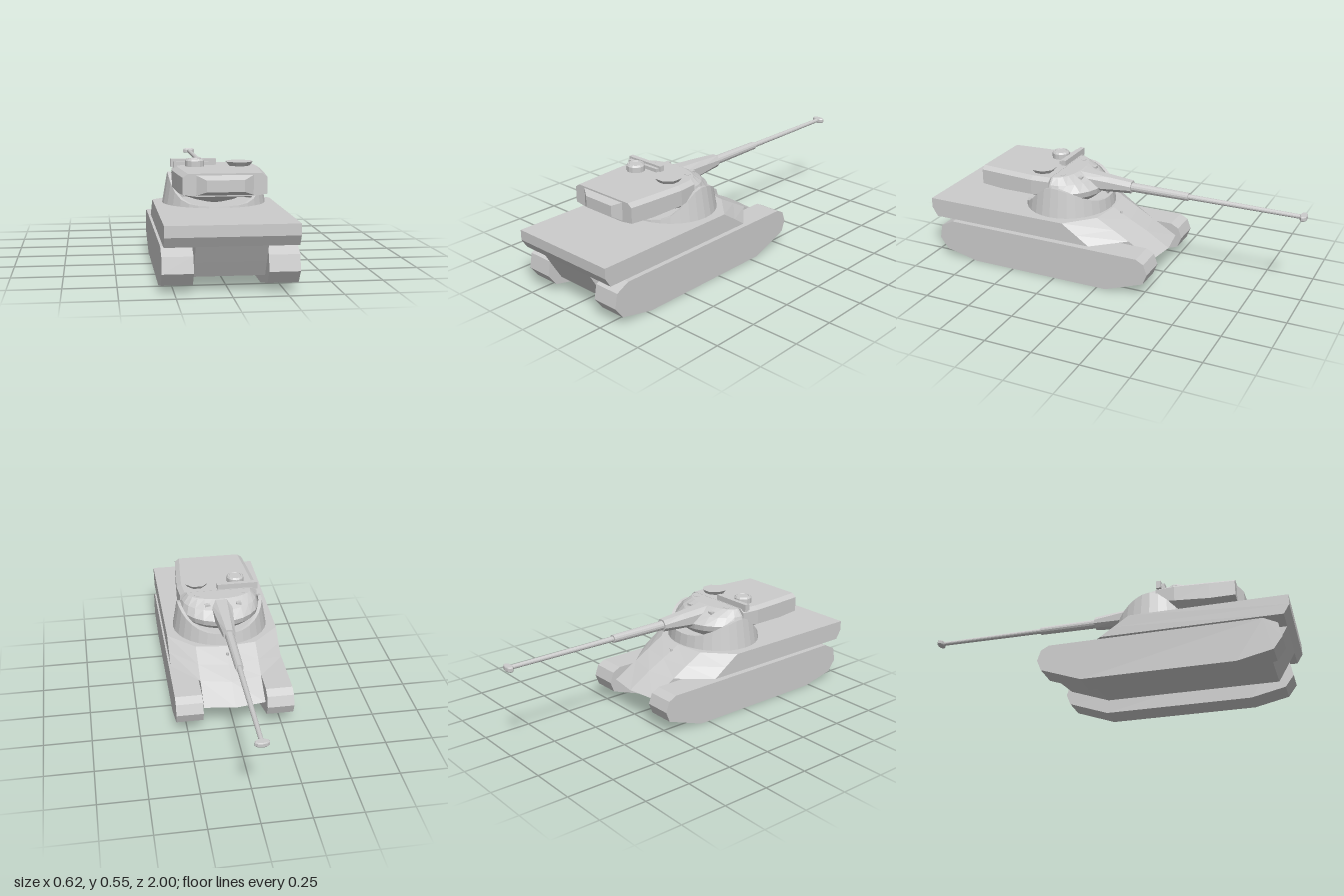
import * as THREE from 'three';

const material = new THREE.MeshStandardMaterial({ color: 0xcccccc, flatShading: true });

function add(parent, name, geometry, x = 0, y = 0, z = 0) {
  const mesh = new THREE.Mesh(geometry, material);
  mesh.name = name;
  mesh.position.set(x, y, z);
  parent.add(mesh);
  return mesh;
}

// Skin a solid over rings with equal point counts; ends are capped unless the loft loops
function loft(rings, loop = false) {
  const n = rings[0].length, tris = [];
  const last = loop ? rings.length : rings.length - 1;
  for (let r = 0; r < last; r++) {
    const a = rings[r], b = rings[(r + 1) % rings.length];
    for (let i = 0; i < n; i++) {
      const j = (i + 1) % n;
      tris.push([a[i], a[j], b[j]], [a[i], b[j], b[i]]);
    }
  }
  if (!loop) {
    const end = rings[rings.length - 1];
    for (let i = 1; i < n - 1; i++) {
      tris.push([rings[0][0], rings[0][i + 1], rings[0][i]], [end[0], end[i], end[i + 1]]);
    }
  }
  // Turn the skin outward if its signed volume is negative
  let volume = 0;
  for (const [p, q, s] of tris) {
    volume += new THREE.Vector3(...p).dot(new THREE.Vector3(...q).cross(new THREE.Vector3(...s)));
  }
  if (volume < 0) tris.forEach((t) => t.reverse());
  const geometry = new THREE.BufferGeometry();
  geometry.setAttribute('position', new THREE.Float32BufferAttribute(tris.flat(2), 3));
  geometry.computeVertexNormals();
  return geometry;
}

// Mirror a half outline in x
const mirror = (half) => [...half, ...half.filter((p) => p[0] > 0).reverse().map(([x, y, z]) => [-x, y, z])];

// Ring of points around the turret axis
function ring(count, fn) {
  return Array.from({ length: count }, (_, i) => {
    const a = (i / count) * Math.PI * 2;
    return fn(Math.sin(a), Math.cos(a));
  });
}

// Round part along z, from z0 back to z1
function tubeZ(parent, name, r0, r1, z0, z1, sides = 14) {
  const geometry = new THREE.CylinderGeometry(r1, r0, z1 - z0, sides).rotateX(Math.PI / 2);
  return add(parent, name, geometry, 0, 0.458, (z0 + z1) / 2);
}

function buildHull(parent) {
  // Wide upper hull with cut front corners and a peaked glacis
  const upper = (y, rear, side, inner, tip) =>
    mirror([[0, y, tip], [0.162, y, inner], [0.302, y, side], [0.302, y, rear]]);
  add(parent, 'upperHull', loft([
    upper(0.222, 0.97, 0.05, -0.115, -0.15),
    upper(0.27, 1, 0.12, -0.03, -0.055),
    upper(0.323, 1, 0.2, 0.065, 0.045),
  ]));

  // Narrow lower hull between the tracks, ending in the bow
  const lower = (y, rear, inner, tip) => mirror([[0, y, tip], [0.162, y, inner], [0.162, y, rear]]);
  add(parent, 'lowerHull', loft([
    lower(0.07, 0.88, -0.04, -0.05),
    lower(0.145, 0.925, -0.25, -0.275),
    lower(0.222, 0.97, -0.115, -0.15),
  ]));
  add(parent, 'glacisKnob', new THREE.CylinderGeometry(0.008, 0.008, 0.02, 8), 0, 0.3, 0);

  // Tracks
  const profile = [
    [0.87, 0.21], [0.94, 0.175], [0.955, 0.1], [0.91, 0.04], [0.73, 0],
    [-0.05, 0], [-0.26, 0.075], [-0.282, 0.13], [-0.262, 0.185], [-0.22, 0.207],
  ];
  for (const side of [-1, 1]) {
    const edge = (x) => profile.map(([z, y]) => [side * x, y, z]);
    add(parent, side > 0 ? 'leftTrack' : 'rightTrack', loft([edge(0.168), edge(0.31)]));
  }
}

function buildTurret(parent) {
  // Cradle: a cup, high at the sides and low at the back
  const rimY = (s, c) => (c < 0 ? 0.385 + 0.092 * Math.abs(s) ** 3 : 0.332 + 0.145 * Math.abs(s) ** 5);
  const cup = (scale, heightOf) => ring(32, (s, c) => {
    const y = heightOf(s, c);
    const k = scale - 0.66 * (y - 0.32);
    return [s * 0.26 * k, y, 0.295 + c * 0.237 * k];
  });
  add(parent, 'turretCradle', loft([
    cup(1, () => 0.32), cup(1, rimY), cup(0.93, rimY), cup(0.85, () => 0.322),
  ], true));

  // Rounded front body of the upper turret: y, half width, front reach, rear reach
  const levels = [
    [0.33, 0.05, 0.05, 0.06], [0.345, 0.11, 0.1, 0.12], [0.375, 0.175, 0.16, 0.17],
    [0.41, 0.21, 0.2, 0.2], [0.44, 0.218, 0.205, 0.2], [0.48, 0.205, 0.155, 0.2], [0.514, 0.175, 0.085, 0.2],
  ];
  add(parent, 'turretBody', loft(levels.map(([y, w, front, rear]) =>
    ring(24, (s, c) => [s * w, y, 0.31 + c * (c < 0 ? front : rear)]))));

  // Bustle, tapering to the rear
  const section = (z, w, low, mid) => mirror([
    [0, 0.515, z], [w - 0.025, 0.515, z], [w, 0.497, z], [w, mid, z], [w - 0.07, low, z], [0, low, z],
  ]);
  add(parent, 'bustle', loft([
    section(0.32, 0.212, 0.385, 0.43), section(0.42, 0.22, 0.385, 0.418),
    section(0.6, 0.207, 0.385, 0.412), section(0.73, 0.196, 0.408, 0.418),
  ]));
  const panel = (z, w, low, high) => [[-w, low, z], [w, low, z], [w, high, z], [-w, high, z]];
  add(parent, 'bustleRearPanel', loft([panel(0.725, 0.14, 0.411, 0.51), panel(0.76, 0.088, 0.432, 0.487)]));

  // Roof fittings
  const cupola = [[0, 0], [0.047, 0], [0.047, 0.028], [0.04, 0.037], [0.034, 0.037], [0.032, 0.033], [0, 0.033]];
  add(parent, 'cupola', new THREE.LatheGeometry(cupola.map(([x, y]) => new THREE.Vector2(x, y)), 14), -0.107, 0.515, 0.412);
  add(parent, 'cupolaGuard', new THREE.BoxGeometry(0.225, 0.04, 0.025), -0.107, 0.524, 0.338);
  add(parent, 'cupolaGuardStep', new THREE.BoxGeometry(0.2, 0.03, 0.022), -0.105, 0.518, 0.358);
  add(parent, 'hatch', new THREE.CylinderGeometry(0.07, 0.045, 0.03, 8).rotateY(Math.PI / 8), 0.113, 0.521, 0.402);
  for (const [x, y, z] of [[-0.125, 0.503, 0.28], [0.125, 0.503, 0.28], [-0.092, 0.488, 0.2], [0.078, 0.488, 0.2]]) {
    add(parent, 'periscope', new THREE.BoxGeometry(0.028, 0.026, 0.022), x, y, z);
  }
}

function buildGun(parent) {
  // Tapered mantlet with chamfered corners
  const section = (z, w, low, high) => mirror([
    [0, high, z], [w * 0.5, high, z], [w, high - 0.022, z], [w, low + 0.02, z], [w * 0.5, low, z], [0, low, z],
  ]);
  add(parent, 'mantlet', loft([
    section(-0.065, 0.032, 0.428, 0.49), section(0.06, 0.044, 0.42, 0.5), section(0.24, 0.062, 0.41, 0.513),
  ]));
  tubeZ(parent, 'gunSleeve', 0.021, 0.024, -0.38, -0.06);
  tubeZ(parent, 'gunBarrel', 0.011, 0.014, -0.98, -0.37);

  // Muzzle brake, wide and flat
  const brake = (y, k) => ring(10, (s, c) => [s * 0.036 * k, y, -0.981 + c * 0.019 * k]);
  add(parent, 'muzzleBrake', loft([brake(0.445, 0.85), brake(0.45, 1), brake(0.466, 1), brake(0.471, 0.85)]));
}

export function createModel() {
  const model = new THREE.Group();
  model.name = 'tank';
  for (const [name, build] of [['hull', buildHull], ['turret', buildTurret], ['gun', buildGun]]) {
    const group = new THREE.Group();
    group.name = name;
    build(group);
    model.add(group);
  }
  return model;
}
